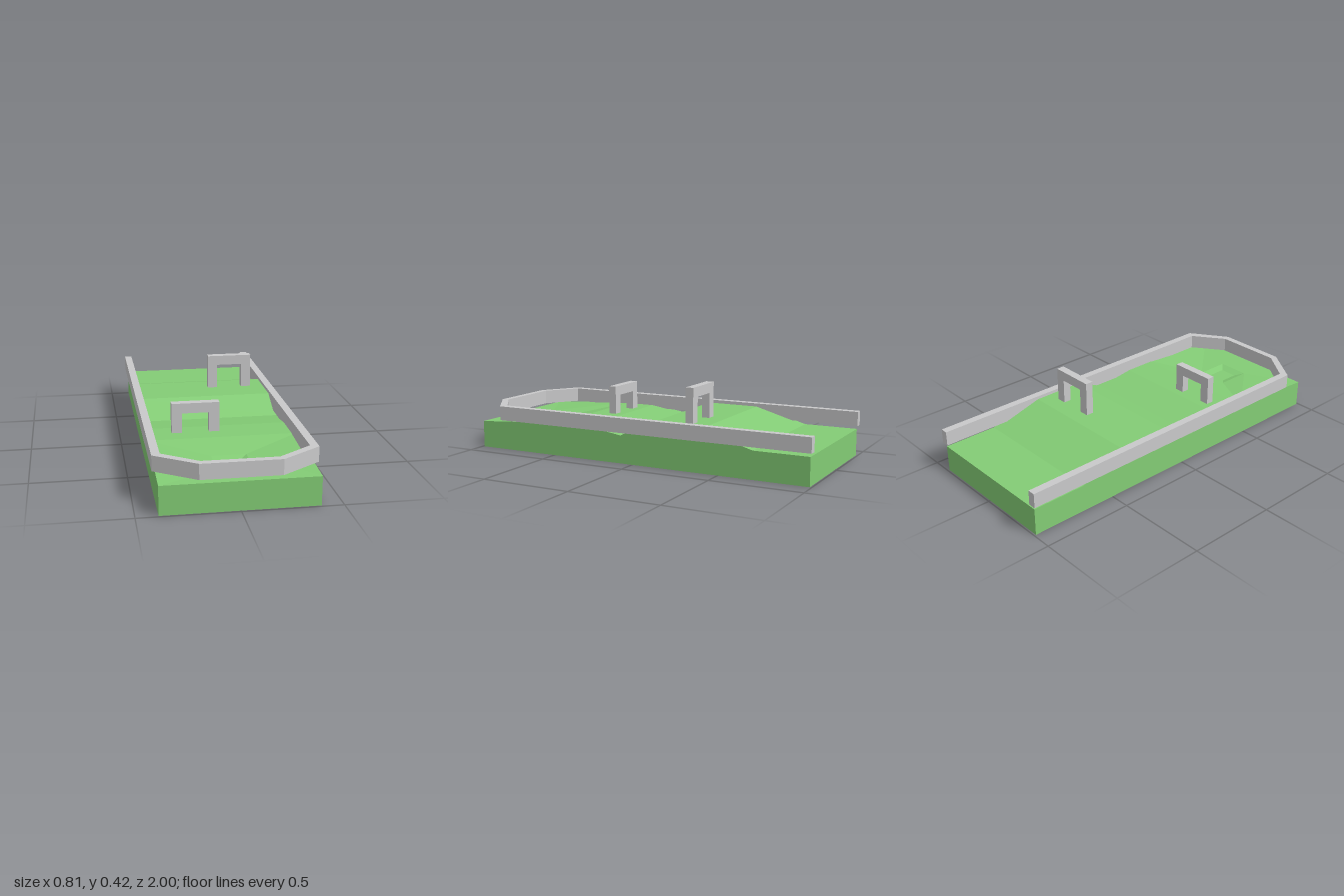
import * as THREE from 'three';

const green = new THREE.MeshStandardMaterial({ color: 0x83cc75 });
green.name = 'grass green';
const grey = new THREE.MeshStandardMaterial({ color: 0xc9c9ca });
grey.name = 'stone grey';

const W = 0.39; // half width of the ground

// Ground block: a stepped profile along z, ending in a funnel with a small cup
function createGround() {
  const pos = [];
  const quad = (a, b, c, d) => pos.push(...a, ...b, ...c, ...a, ...c, ...d);

  // Height and z of each step, back to front
  const profile = [[-0.99, 0.15], [-0.69, 0.15], [-0.4, 0.232], [-0.1, 0.232],
    [0.07, 0.153], [0.29, 0.185], [0.47, 0.185], [0.99, 0.15]];
  for (let i = 0; i < profile.length - 1; i++) {
    const [z0, y0] = profile[i];
    const [z1, y1] = profile[i + 1];
    // The last step is replaced by the funnel
    if (i < profile.length - 2) quad([-W, y0, z0], [-W, y1, z1], [W, y1, z1], [W, y0, z0]);
    // Left and right sides
    quad([W, 0, z1], [W, 0, z0], [W, y0, z0], [W, y1, z1]);
    quad([-W, 0, z0], [-W, 0, z1], [-W, y1, z1], [-W, y0, z0]);
  }

  // Funnel rings: half width, back z, back y, front z, front y
  const ring = (x, zb, yb, zf, yf) => [[-x, yb, zb], [-x, yf, zf], [x, yf, zf], [x, yb, zb]];
  const rings = [
    ring(W, 0.47, 0.185, 0.99, 0.15),
    ring(0.09, 0.645, 0.15, 0.835, 0.15),
    ring(0.05, 0.69, 0.136, 0.79, 0.136),
  ];
  for (let r = 0; r < 2; r++) {
    const [o, n] = [rings[r], rings[r + 1]];
    for (let k = 0; k < 4; k++) {
      const m = (k + 1) % 4;
      quad(o[k], o[m], n[m], n[k]);
    }
  }
  quad(...rings[2]);

  // Front, back and underside
  const h = 0.15, e = 0.99;
  quad([-W, 0, e], [W, 0, e], [W, h, e], [-W, h, e]);
  quad([W, 0, -e], [-W, 0, -e], [-W, h, -e], [W, h, -e]);
  quad([-W, 0, -e], [W, 0, -e], [W, 0, e], [-W, 0, e]);

  const geo = new THREE.BufferGeometry();
  geo.setAttribute('position', new THREE.Float32BufferAttribute(pos, 3));
  geo.computeVertexNormals();
  const mesh = new THREE.Mesh(geo, green);
  mesh.name = 'ground';
  return mesh;
}

// Border wall: a U outline with cut corners, extruded upward
function createWall() {
  const outer = [[0.407, -1], [0.407, 0.855], [0.2, 0.997]];
  const inner = [[0.365, -1], [0.365, 0.835], [0.19, 0.96]];
  const across = (half) => [...half, ...half.map(([x, z]) => [-x, z]).reverse()];
  const outline = [...across(outer), ...across(inner).reverse()];
  const shape = new THREE.Shape(outline.map(([x, z]) => new THREE.Vector2(x, z)));
  const geo = new THREE.ExtrudeGeometry(shape, { depth: 0.08, bevelEnabled: false });
  geo.rotateX(Math.PI / 2).translate(0, 0.25, 0);
  const mesh = new THREE.Mesh(geo, grey);
  mesh.name = 'borderWall';
  return mesh;
}

// Square arch standing on the ground
function createArch(name, x, z, bottom, top) {
  const w = 0.126, t = 0.054, d = 0.044;
  const outline = [[-w, bottom], [-w + t, bottom], [-w + t, top - t], [w - t, top - t],
    [w - t, bottom], [w, bottom], [w, top], [-w, top]];
  const shape = new THREE.Shape(outline.map(([a, b]) => new THREE.Vector2(a, b)));
  const geo = new THREE.ExtrudeGeometry(shape, { depth: d, bevelEnabled: false });
  const mesh = new THREE.Mesh(geo, grey);
  mesh.position.set(x, 0, z - d / 2);
  mesh.name = name;
  return mesh;
}

export function createModel() {
  const group = new THREE.Group();
  group.name = 'miniGolfEnd';
  group.add(
    createGround(),
    createWall(),
    createArch('frontArch', -0.129, 0.355, 0.17, 0.345),
    createArch('backArch', 0.163, -0.29, 0.215, 0.423),
  );
  return group;
}
